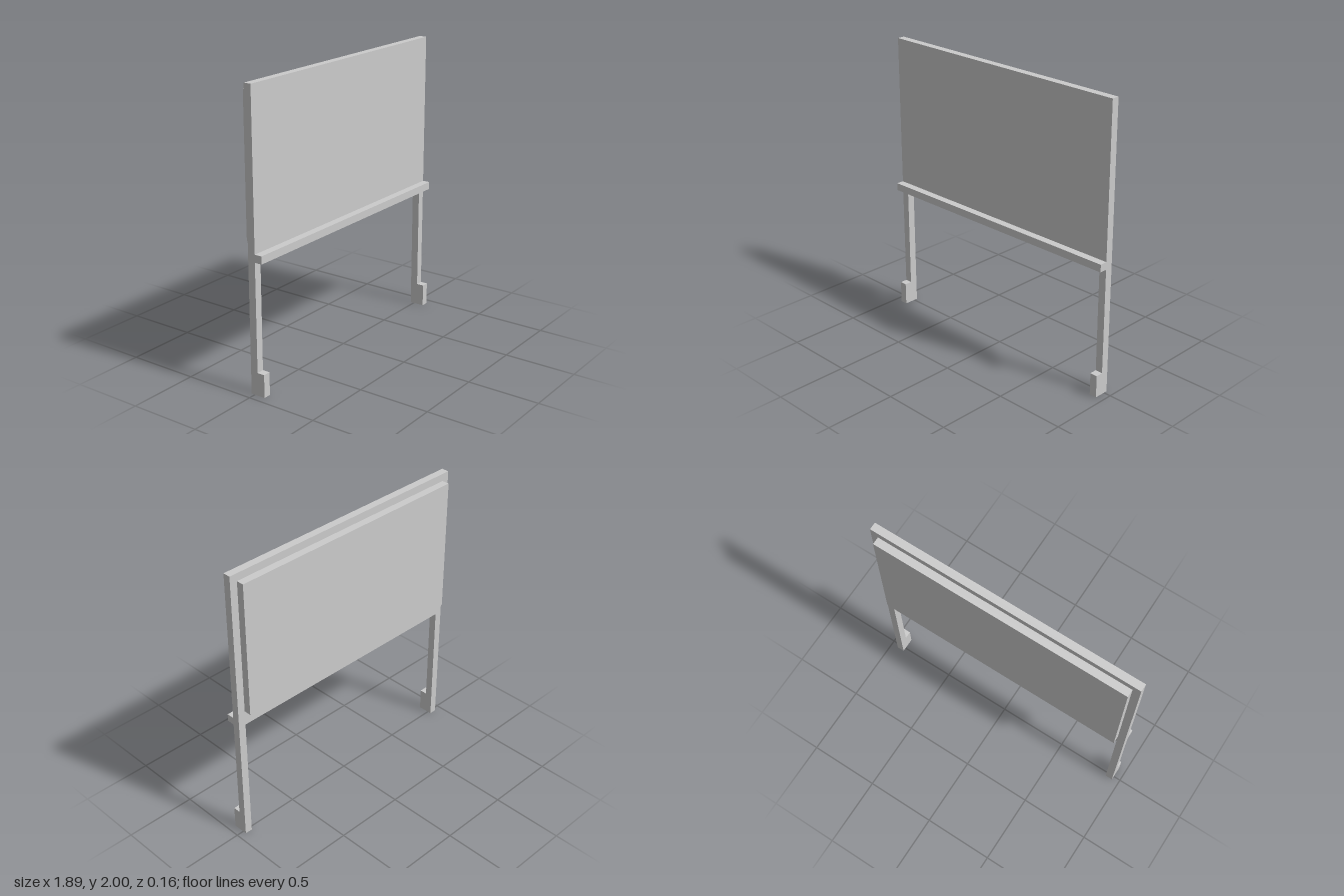
import * as THREE from 'three';

// All sizes are multiples of one thickness unit
const U = 2 / 38;

export function createModel() {
  const model = new THREE.Group();
  const material = new THREE.MeshStandardMaterial({ color: 0xcccccc, flatShading: true });

  const add = (name, geometry, x, y, z) => {
    const mesh = new THREE.Mesh(geometry, material);
    mesh.name = name;
    mesh.position.set(x, y, z);
    model.add(mesh);
  };

  // Box given by its width, its bottom and top, and its centre in x and z
  const addBox = (name, width, bottom, top, x, z) =>
    add(name, new THREE.BoxGeometry(width * U, (top - bottom) * U, U), x * U, ((bottom + top) / 2) * U, z * U);

  // Board and its two legs, cut as one outline
  const outline = new THREE.Shape(
    [[-18, 0], [-17, 0], [-17, 17], [17, 17], [17, 0], [18, 0], [18, 38], [-18, 38]]
      .map(([x, y]) => new THREE.Vector2(x * U, y * U))
  );
  add('boardWithLegs', new THREE.ExtrudeGeometry(outline, { depth: U, bevelEnabled: false }), 0, 0, -U / 2);

  // Raised panel on the back, and the tray along the front lower edge
  addBox('backPanel', 34, 19, 37, 0, -1);
  addBox('tray', 36, 17, 18, 0, 1);

  // Feet projecting forward from the legs
  for (const side of [-1, 1]) {
    addBox(side > 0 ? 'leftFoot' : 'rightFoot', 1, 0, 3, side * 17.5, 1);
  }

  return model;
}
